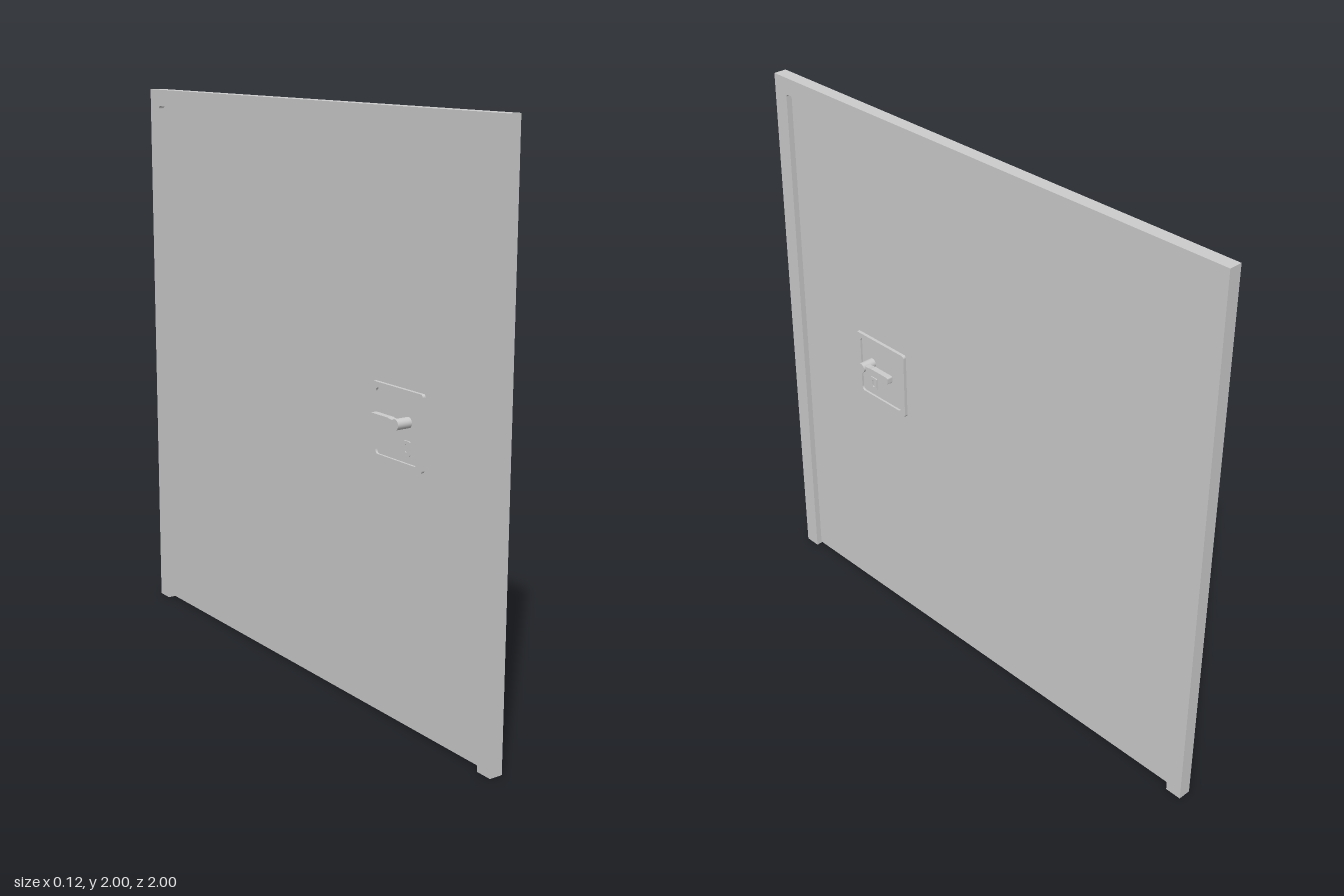
import * as THREE from 'three';

const material = new THREE.MeshStandardMaterial({ color: 0xcccccc });

// Rounded rectangle in the door plane, u running along -z
function roundedRect(u0, y0, u1, y1, r, Type = THREE.Shape) {
  const s = new Type();
  s.moveTo(u0 + r, y0);
  s.lineTo(u1 - r, y0);
  s.absarc(u1 - r, y0 + r, r, -Math.PI / 2, 0);
  s.absarc(u1 - r, y1 - r, r, 0, Math.PI / 2);
  s.absarc(u0 + r, y1 - r, r, Math.PI / 2, Math.PI);
  s.absarc(u0 + r, y0 + r, r, Math.PI, Math.PI * 1.5);
  return s;
}

// Slab spanning depth d0..d1 on one face of the door (side = 1 or -1)
function slab(name, shape, d0, d1, side = 1) {
  const geo = new THREE.ExtrudeGeometry(shape, { depth: d1 - d0, bevelEnabled: false, curveSegments: 6 });
  geo.translate(0, 0, side > 0 ? d0 : -d1);
  const mesh = new THREE.Mesh(geo, material);
  mesh.name = name;
  return mesh;
}

// U-shaped surround, open at the floor
function frameShape() {
  const s = new THREE.Shape();
  const w = 0.94, r = 0.01;
  s.moveTo(-1, 0);
  s.lineTo(-w, 0);
  s.lineTo(-w, w + 1 - r);
  s.absarc(-w + r, w + 1 - r, r, Math.PI, Math.PI / 2, true);
  s.lineTo(w - r, w + 1);
  s.absarc(w - r, w + 1 - r, r, Math.PI / 2, 0, true);
  s.lineTo(w, 0);
  s.lineTo(1, 0);
  s.lineTo(1, 2);
  s.lineTo(-1, 2);
  s.closePath();
  return s;
}

// Lever with a narrow neck that widens towards a rounded tip
function leverShape(u, y) {
  const s = new THREE.Shape();
  s.moveTo(u, y - 0.012);
  s.quadraticCurveTo(u + 0.025, y - 0.008, u + 0.045, y - 0.014);
  s.lineTo(u + 0.13, y - 0.014);
  s.quadraticCurveTo(u + 0.137, y - 0.014, u + 0.137, y - 0.007);
  s.lineTo(u + 0.137, y + 0.007);
  s.quadraticCurveTo(u + 0.137, y + 0.013, u + 0.13, y + 0.013);
  s.lineTo(u + 0.045, y + 0.013);
  s.quadraticCurveTo(u + 0.025, y + 0.008, u, y + 0.012);
  s.closePath();
  return s;
}

function createHandle(side) {
  const g = new THREE.Group();
  g.name = side > 0 ? 'leftHandle' : 'rightHandle';
  const u = -0.555, y = 1.026;

  // Escutcheon: recessed plate inside a raised rim
  const rim = roundedRect(-0.634, 0.877, -0.375, 1.13, 0.01);
  rim.holes.push(roundedRect(-0.61, 0.893, -0.396, 1.112, 0.014, THREE.Path));
  g.add(slab('plateRim', rim, 0.002, 0.014, side));
  g.add(slab('plate', roundedRect(-0.625, 0.885, -0.385, 1.12, 0.01), 0.002, 0.006, side));

  // Keyhole cover
  const cover = roundedRect(-0.567, 0.918, -0.533, 0.966, 0.004);
  cover.holes.push(roundedRect(-0.555, 0.928, -0.545, 0.956, 0.004, THREE.Path));
  g.add(slab('keyholeCover', cover, 0.006, 0.01, side));

  // Spindle and lever
  const spindle = new THREE.Mesh(new THREE.CylinderGeometry(0.018, 0.018, 0.056, 32), material);
  spindle.name = 'spindle';
  spindle.rotation.x = Math.PI / 2;
  spindle.position.set(u, y, side * 0.033);
  g.add(spindle);
  g.add(slab('lever', leverShape(u, y), 0.031, 0.053, side));
  return g;
}

export function createModel() {
  const model = new THREE.Group();
  model.name = 'door';
  const door = new THREE.Group();
  door.name = 'doorAssembly';
  door.rotation.y = Math.PI / 2;

  door.add(slab('frame', frameShape(), -0.024, 0.024));
  door.add(slab('doorPanel', roundedRect(-0.94, 0.005, 0.94, 1.94, 0.01), -0.002, 0.002));
  for (const side of [1, -1]) door.add(createHandle(side));

  model.add(door);
  return model;
}
